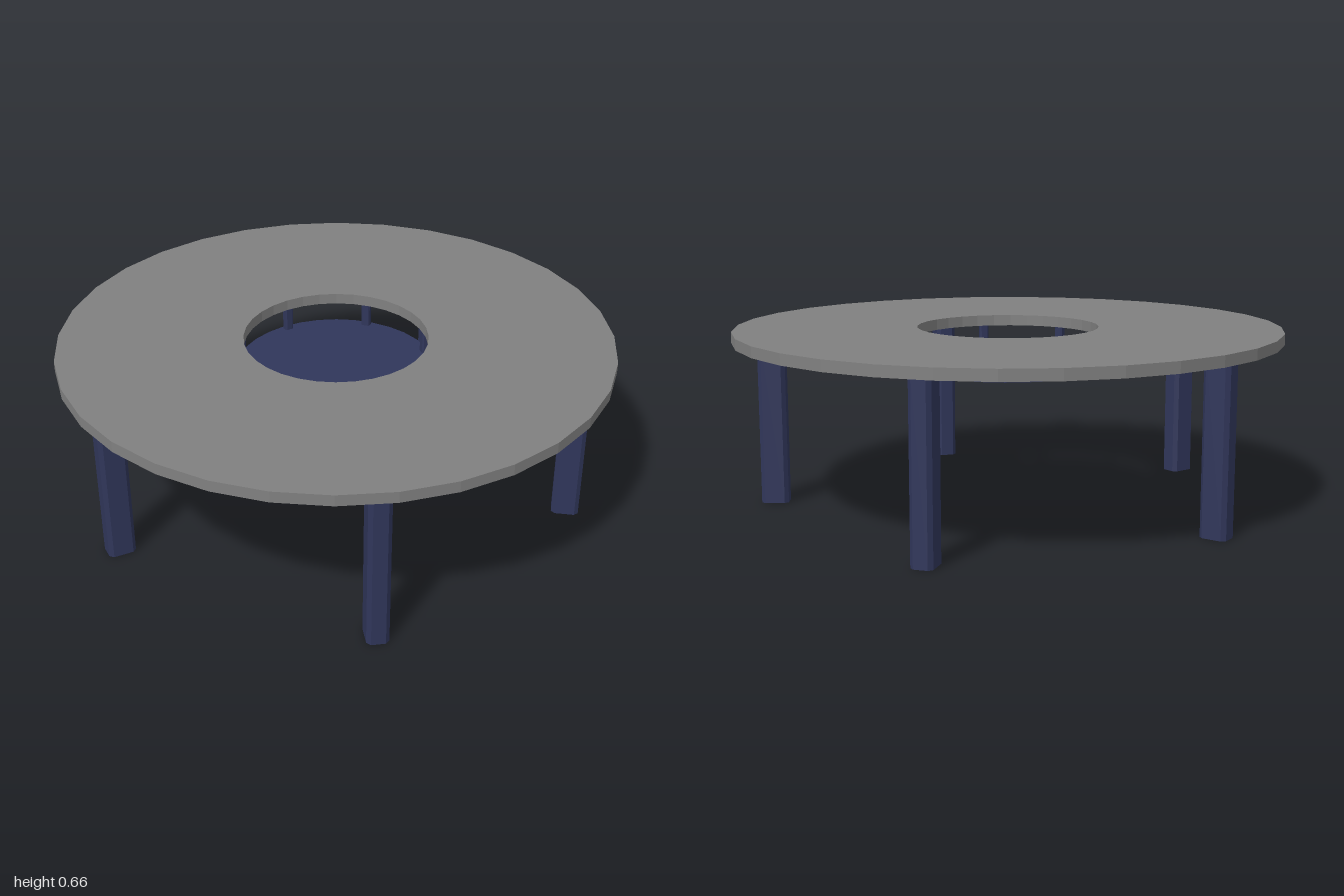
import * as THREE from 'three';

const TOP_Y = 0.62;
const greyMat = new THREE.MeshStandardMaterial({ color: 0x808080 });
const navyMat = new THREE.MeshStandardMaterial({ color: 0x30365a });

// Extrude a plan outline upwards from y0 to y1 (16 gives 32-sided circles)
function slab(shape, y0, y1) {
  const geo = new THREE.ExtrudeGeometry(shape, { depth: y1 - y0, bevelEnabled: false, curveSegments: 16 });
  return geo.rotateX(-Math.PI / 2).translate(0, y0, 0);
}

function circle(radius) {
  return new THREE.Shape().absarc(0, 0, radius, 0, Math.PI * 2, false);
}

// Rectangle with cut corners
function chamferedRect(w, d, c) {
  const x = w / 2, y = d / 2;
  return new THREE.Shape([
    [x, y - c], [x - c, y], [c - x, y], [-x, y - c],
    [-x, c - y], [c - x, -y], [x - c, -y], [x, c - y],
  ].map(([px, py]) => new THREE.Vector2(px, py)));
}

// Repeat an upright around the centre, each turned to face outwards
function ringOf(name, geo, count, radius, start) {
  const group = new THREE.Group();
  group.name = name + 's';
  for (let i = 0; i < count; i++) {
    const a = start + (i * Math.PI * 2) / count;
    const mesh = new THREE.Mesh(geo, navyMat);
    mesh.name = name + (i + 1);
    mesh.position.set(radius * Math.cos(a), 0, radius * Math.sin(a));
    mesh.rotation.y = -a;
    group.add(mesh);
  }
  return group;
}

export function createModel() {
  const table = new THREE.Group();
  table.name = 'roundTable';

  // Ring-shaped top
  const ring = circle(1);
  ring.holes.push(circle(0.333));
  const top = new THREE.Mesh(slab(ring, TOP_Y, 0.66), greyMat);
  top.name = 'tableTop';

  // Sunken tray under the opening
  const tray = new THREE.Mesh(slab(circle(0.365), 0.51, 0.535), navyMat);
  tray.name = 'centreTray';

  // Five legs and seven tray hangers
  const legs = ringOf('leg', slab(chamferedRect(0.1, 0.078, 0.014), 0, TOP_Y), 5, 0.87, Math.PI);
  const hangers = ringOf('trayHanger', slab(chamferedRect(0.027, 0.033, 0.005), 0.535, TOP_Y), 7, 0.346, Math.PI / 2);

  table.add(top, tray, legs, hangers);
  return table;
}
